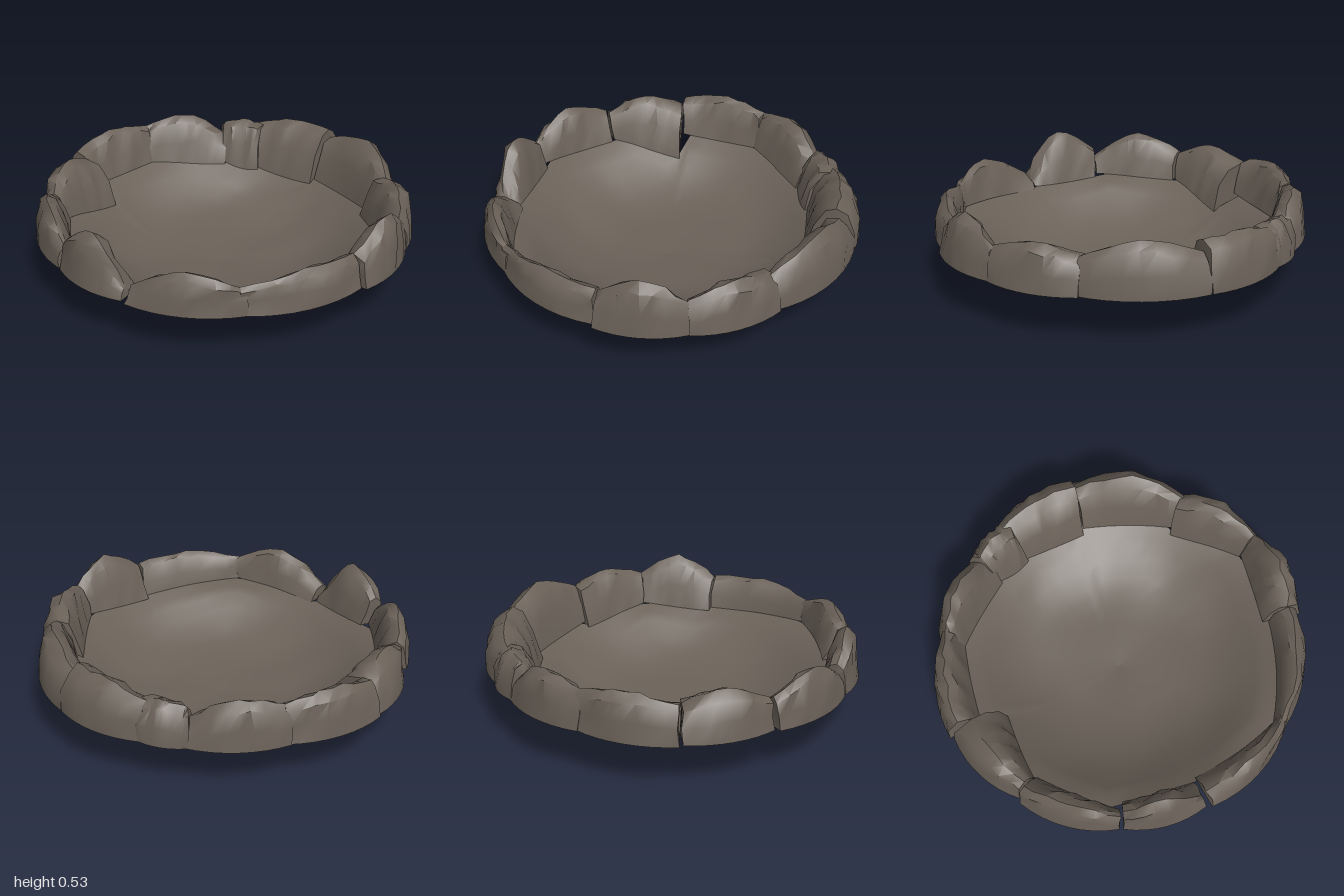
import * as THREE from 'three';
import { toCreasedNormals } from 'three/addons/utils/BufferGeometryUtils.js';

// Rim stones: start and end angle (degrees from +x towards +z), outer radius at
// start and end, inner radius at start and end, height at start, middle and end.
const STONES = [
  [-13.5, 14, 0.97, 0.985, 0.85, 0.78, 0.42, 0.535, 0.41],
  [14.5, 53, 0.96, 0.955, 0.81, 0.89, 0.42, 0.44, 0.39],
  [51, 87, 0.955, 0.965, 0.9, 0.79, 0.38, 0.465, 0.32],
  [88.5, 115, 0.95, 0.96, 0.81, 0.82, 0.31, 0.535, 0.41],
  [116, 147.5, 0.96, 0.97, 0.86, 0.81, 0.36, 0.495, 0.41],
  [148.5, 176, 0.95, 0.985, 0.82, 0.68, 0.4, 0.485, 0.42],
  [177, 208, 1.0, 0.94, 0.82, 0.82, 0.44, 0.485, 0.45],
  [207, 238, 0.95, 0.94, 0.82, 0.75, 0.45, 0.495, 0.37],
  [237, 253, 0.94, 0.945, 0.77, 0.73, 0.43, 0.46, 0.44],
  [251, 280, 0.95, 0.985, 0.75, 0.72, 0.44, 0.495, 0.49],
  [280.5, 320, 0.985, 0.93, 0.75, 0.78, 0.44, 0.525, 0.42],
  [318, 346.5, 0.95, 0.975, 0.74, 0.84, 0.43, 0.485, 0.43],
];

// Bowl profile: radius, height
const BOWL = [[0, 0.005], [0.15, 0.015], [0.3, 0.026], [0.4, 0.04], [0.5, 0.066],
  [0.6, 0.115], [0.7, 0.185], [0.78, 0.24], [0.83, 0.258], [0.91, 0.268]];

const BASE = 0.253;
const { lerp, degToRad, radToDeg, mapLinear, euclideanModulo } = THREE.MathUtils;

function seeded(seed) {
  return () => {
    seed = (seed * 16807) % 2147483647;
    return seed / 2147483647 - 0.5;
  };
}

function bowlHeight(r) {
  const i = Math.max(1, BOWL.findIndex((p) => p[0] >= r));
  const [a, b] = [BOWL[i - 1], BOWL[i]];
  return mapLinear(r, a[0], b[0], a[1], b[1]);
}

// Radius where a stone's inner face meets the bowl, t running along the stone
function footRadius(stone, t) {
  return lerp(stone[4], stone[5], t) - 0.08 * t * (1 - t);
}

// Radius of the bowl's edge at an angle in degrees
function rimRadius(angle) {
  const a = euclideanModulo(angle + 13.5, 360) - 13.5;
  const stone = STONES.find((s) => a >= s[0] && a <= s[1]);
  return stone ? footRadius(stone, (a - stone[0]) / (stone[1] - stone[0])) + 0.012 : 0.83;
}

// A hollow stone, open underneath: sections swept around the rim, with end walls
function stoneGeometry(stone, seed) {
  const [a0, a1, outer0, outer1, , , h0, peak, h1] = stone;
  const rand = seeded(seed);
  const steps = 8;
  const rings = [];
  for (let s = 0; s <= steps; s++) {
    const t = s / steps;
    const off = Math.abs(2 * t - 1); // 0 in the middle, 1 at the ends
    const ro = lerp(outer0, outer1, t) + 0.02 * (1 - off * off);
    const ri = footRadius(stone, t);
    const top = lerp(peak, t < 0.5 ? h0 : h1, off ** 1.5);
    const h = top - BASE, w = ro - ri;
    const profile = [
      [ro, BASE],
      [ro - 0.012, BASE + h * 0.45],
      [ro - w * 0.18, BASE + h * 0.84],
      [ro - w * 0.4, top],
      [ri + w * 0.36, BASE + h * 0.88],
      [ri + w * 0.15, BASE + h * 0.45],
      [ri, bowlHeight(ri) + 0.004],
    ];
    rings.push(profile.map(([r, y], k) => {
      const rough = k > 0 && k < 6 ? 0.022 : 0;
      const a = degToRad(lerp(a0, a1, t) + rand() * rough * 60);
      const rr = r + rand() * rough;
      return [rr * Math.cos(a), y + (k === 3 ? 0.4 : 1) * rand() * rough, rr * Math.sin(a)];
    }));
  }
  const n = rings[0].length;
  const positions = rings.flat(2);
  const index = [];
  for (let s = 0; s < steps; s++) {
    for (let k = 0; k < n - 1; k++) {
      const a = s * n + k;
      index.push(a, a + 1, a + n, a + 1, a + n + 1, a + n);
    }
  }
  // End walls as fans around the middle of the first and last section
  [0, steps].forEach((s) => {
    const centre = positions.length / 3;
    for (let axis = 0; axis < 3; axis++) {
      positions.push(rings[s].reduce((sum, p) => sum + p[axis], 0) / n);
    }
    for (let k = 0; k < n; k++) {
      const a = s * n + k, b = s * n + (k + 1) % n;
      if (s === 0) index.push(centre, b, a);
      else index.push(centre, a, b);
    }
  });
  const geometry = new THREE.BufferGeometry();
  geometry.setAttribute('position', new THREE.Float32BufferAttribute(positions, 3));
  geometry.setIndex(index);
  return toCreasedNormals(geometry, 0.8);
}

// Shallow bowl reaching to the foot of each stone, with gentle dents
function bowlGeometry() {
  const edge = BOWL[BOWL.length - 1][0];
  const geometry = new THREE.LatheGeometry(BOWL.map(([r, y]) => new THREE.Vector2(r, y)), 72);
  const p = geometry.attributes.position;
  for (let i = 0; i < p.count; i++) {
    const angle = Math.atan2(p.getZ(i), p.getX(i));
    const r = Math.hypot(p.getX(i), p.getZ(i)) * rimRadius(radToDeg(angle)) / edge;
    const x = r * Math.cos(angle), z = r * Math.sin(angle);
    const fade = r < 0.65 ? Math.min(1, r * 3) : 0;
    const dent = 0.006 * fade * Math.sin(x * 11 + 1) * Math.cos(z * 9 + x * 4);
    p.setXYZ(i, x, bowlHeight(r) + dent, z);
  }
  geometry.computeVertexNormals();
  return geometry;
}

export function createModel() {
  const rock = new THREE.MeshStandardMaterial({ color: 0x6a6158, side: THREE.DoubleSide });
  rock.name = 'greyBrownRock';

  const model = new THREE.Group();
  model.name = 'stoneBasin';

  const bowl = new THREE.Mesh(bowlGeometry(), rock);
  bowl.name = 'bowl';
  model.add(bowl);

  const rim = new THREE.Group();
  rim.name = 'stoneRim';
  STONES.forEach((spec, i) => {
    const stone = new THREE.Mesh(stoneGeometry(spec, 101 + i * 977), rock);
    stone.name = `rimStone${i + 1}`;
    rim.add(stone);
  });
  model.add(rim);
  return model;
}
